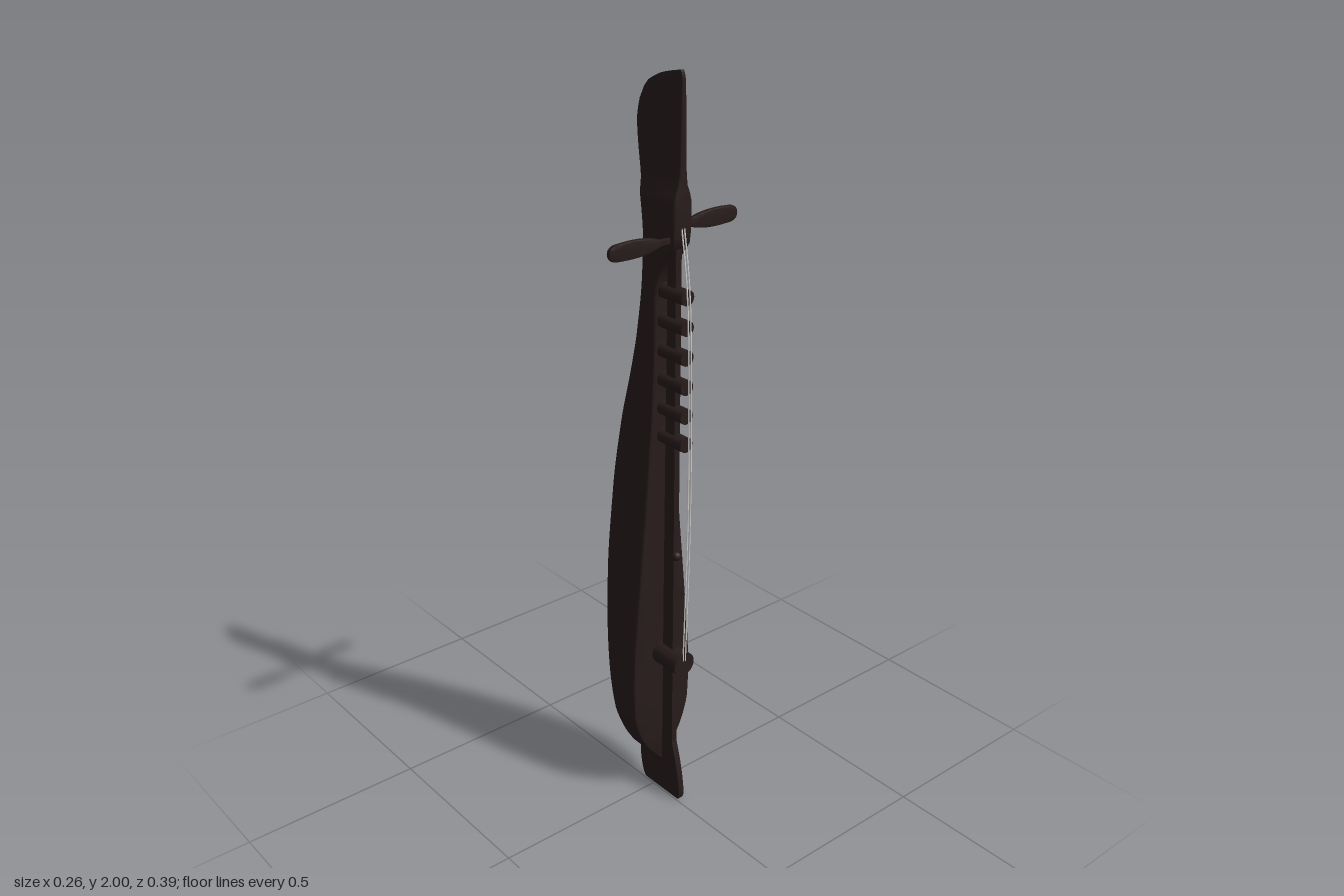
import * as THREE from 'three';
import { toCreasedNormals } from 'three/addons/utils/BufferGeometryUtils.js';

const ZC = -0.013; // middle plane of the instrument

const wood = new THREE.MeshStandardMaterial({ color: 0x281c1c });
wood.name = 'dark wood';
const cord = new THREE.MeshStandardMaterial({ color: 0xd6d4d2 });
cord.name = 'pale string';

// Smooth interpolation through [y, value] pairs, without overshoot
function curve(pairs) {
  const n = pairs.length;
  const slope = i => (pairs[i + 1][1] - pairs[i][1]) / (pairs[i + 1][0] - pairs[i][0]);
  const tan = pairs.map((_, i) => {
    if (i === 0) return slope(0);
    if (i === n - 1) return slope(n - 2);
    const a = slope(i - 1), b = slope(i);
    return a * b <= 0 ? 0 : (2 * a * b) / (a + b);
  });
  return y => {
    let i = 0;
    while (i < n - 2 && y > pairs[i + 1][0]) i++;
    const h = pairs[i + 1][0] - pairs[i][0], t = (y - pairs[i][0]) / h;
    const t2 = t * t, t3 = t2 * t;
    return pairs[i][1] * (2 * t3 - 3 * t2 + 1) + tan[i] * h * (t3 - 2 * t2 + t)
      + pairs[i + 1][1] * (3 * t2 - 2 * t3) + tan[i + 1] * h * (t3 - t2);
  };
}

const backX = curve([[0.1, -0.055], [0.18, -0.065], [0.25, -0.077], [0.42, -0.103], [0.6, -0.123], [0.75, -0.13],
  [0.9, -0.127], [1.1, -0.105], [1.26, -0.07], [1.36, -0.05], [1.5, -0.031], [1.6, -0.027], [1.69, -0.036],
  [1.8, -0.06], [1.87, -0.067], [1.92, -0.058], [1.96, -0.034], [1.985, 0.012], [1.995, 0.05], [2, 0.08]]);
const frontX = curve([[0.1, 0.021], [1.44, 0.023], [1.49, 0.027], [1.53, 0.04], [1.57, 0.065], [1.6, 0.088],
  [1.66, 0.094], [1.97, 0.093], [1.99, 0.091], [2, 0.086]]);
const halfZ = curve([[0.1, 0.008], [0.12, 0.028], [0.15, 0.052], [0.2, 0.078], [0.27, 0.096], [0.35, 0.099],
  [0.42, 0.097], [0.6, 0.083], [0.8, 0.065], [1, 0.048], [1.2, 0.034], [1.35, 0.029], [1.7, 0.028],
  [1.72, 0.023], [1.745, 0.014], [1.79, 0.01], [1.9, 0.008], [2, 0.005]]);

// Cross-section: crisp front edges, slightly rounded back edges
function section(y) {
  const f = frontX(y), b = backX(y), w = halfZ(y), d = f - b;
  const rf = Math.min(0.007, w * 0.5, d * 0.3), rb = Math.min(0.02, w * 0.35, d * 0.5);
  const corners = [[f - rf, -w + rf, rf, 0], [b + rb, -w + rb, rb, 1], [b + rb, w - rb, rb, 2], [f - rf, w - rf, rf, 3]];
  const pts = [];
  for (const [x, z, r, q] of corners) {
    for (let k = 0; k <= 6; k++) {
      const a = (q + k / 6) * Math.PI / 2;
      pts.push([x + r * Math.cos(a), y, ZC + z - r * Math.sin(a)]);
    }
  }
  return pts;
}

function loft(ys) {
  const pos = [], idx = [];
  const rings = ys.map(section), n = rings[0].length;
  rings.forEach(r => r.forEach(p => pos.push(...p)));
  for (let i = 0; i < ys.length - 1; i++) {
    for (let j = 0; j < n; j++) {
      const a = i * n + j, b = i * n + (j + 1) % n;
      idx.push(a, b, b + n, a, b + n, a + n);
    }
  }
  const top = (ys.length - 1) * n;
  for (let j = 1; j < n - 1; j++) idx.push(0, j + 1, j, top, top + j, top + j + 1);
  const g = new THREE.BufferGeometry();
  g.setAttribute('position', new THREE.Float32BufferAttribute(pos, 3));
  g.setIndex(idx);
  return toCreasedNormals(g, 0.6);
}

// Flat plate from an outline, centred in its thickness
function plate(shape, thick, bevel = 0.003) {
  const g = new THREE.ExtrudeGeometry(shape, {
    depth: thick - 2 * bevel, bevelThickness: bevel, bevelSize: bevel, bevelOffset: -bevel, bevelSegments: 2, curveSegments: 10,
  });
  g.translate(0, 0, -thick / 2 + bevel);
  return toCreasedNormals(g, 0.6);
}

export function createModel() {
  const group = new THREE.Group();
  const add = (name, geo, mat = wood) => {
    const m = new THREE.Mesh(geo, mat);
    m.name = name;
    group.add(m);
    return m;
  };

  // Body, neck and thin head in one carved piece
  const ys = [];
  for (let y = 0.1; y < 1.94; y += 0.02) ys.push(y);
  ys.push(1.95, 1.965, 1.975, 1.985, 1.99, 1.995, 2);
  add('body neck and head', loft(ys));

  // Foot plate below the body
  const foot = new THREE.Shape();
  foot.moveTo(-0.035, 0);
  foot.lineTo(0.098, 0);
  foot.quadraticCurveTo(0.108, 0.002, 0.107, 0.03);
  foot.quadraticCurveTo(0.1, 0.1, 0.075, 0.18);
  foot.lineTo(0.032, 0.18);
  foot.lineTo(0.03, 0.105);
  foot.lineTo(0.0, 0.105);
  foot.lineTo(0.0, 0.18);
  foot.lineTo(-0.063, 0.18);
  foot.lineTo(-0.062, 0.08);
  foot.quadraticCurveTo(-0.055, 0.005, -0.035, 0);
  add('foot', plate(foot, 0.019)).position.z = ZC;

  // Long rail standing clear of the body
  const rail = new THREE.Shape();
  rail.moveTo(0.032, 0.16);
  rail.lineTo(0.075, 0.16);
  rail.quadraticCurveTo(0.078, 0.9, 0.079, 1.59);
  rail.lineTo(0.047, 1.55);
  rail.quadraticCurveTo(0.038, 0.9, 0.032, 0.16);
  add('rail', plate(rail, 0.019)).position.z = ZC;

  const bead = add('rail bead', new THREE.SphereGeometry(0.013, 12, 8));
  bead.position.set(0.077, 0.765, ZC);

  // Frets and bridge: round posts pointing forward
  const post = (name, y, r, x0, x1) => {
    const g = new THREE.CylinderGeometry(r, r, x1 - x0, 20);
    g.rotateZ(-Math.PI / 2);
    add(name, g).position.set((x0 + x1) / 2, y, ZC);
  };
  for (let i = 0; i < 6; i++) post('fret', 1.475 - i * 0.0765, 0.02, 0.016, 0.112);
  post('bridge', 0.45, 0.034, 0.016, 0.113);

  // Flat tuning pegs, one on each side
  const peg = new THREE.Shape();
  peg.moveTo(0, -0.007);
  peg.lineTo(0.04, -0.008);
  peg.bezierCurveTo(0.08, -0.024, 0.13, -0.024, 0.175, -0.02);
  peg.bezierCurveTo(0.2, -0.016, 0.2, 0.016, 0.175, 0.02);
  peg.bezierCurveTo(0.13, 0.024, 0.08, 0.024, 0.04, 0.008);
  peg.lineTo(0, 0.007);
  for (const [side, y, z] of [[1, 1.612, 0.003], [-1, 1.645, -0.003]]) {
    const p = add(side > 0 ? 'left peg' : 'right peg', plate(peg, 0.012));
    p.rotation.y = -side * Math.PI / 2;
    p.position.set(0.075, y, z);
  }

  // Two strings from the neck over the frets to the bridge
  for (const z of [-0.0095, -0.0175]) {
    const path = new THREE.CatmullRomCurve3([[0.09, 1.65], [0.1, 1.59], [0.115, 1.47], [0.125, 1.1], [0.124, 0.85], [0.112, 0.46]]
      .map(([x, y]) => new THREE.Vector3(x, y, z)));
    add('string', new THREE.TubeGeometry(path, 32, 0.002, 6), cord);
  }
  return group;
}
